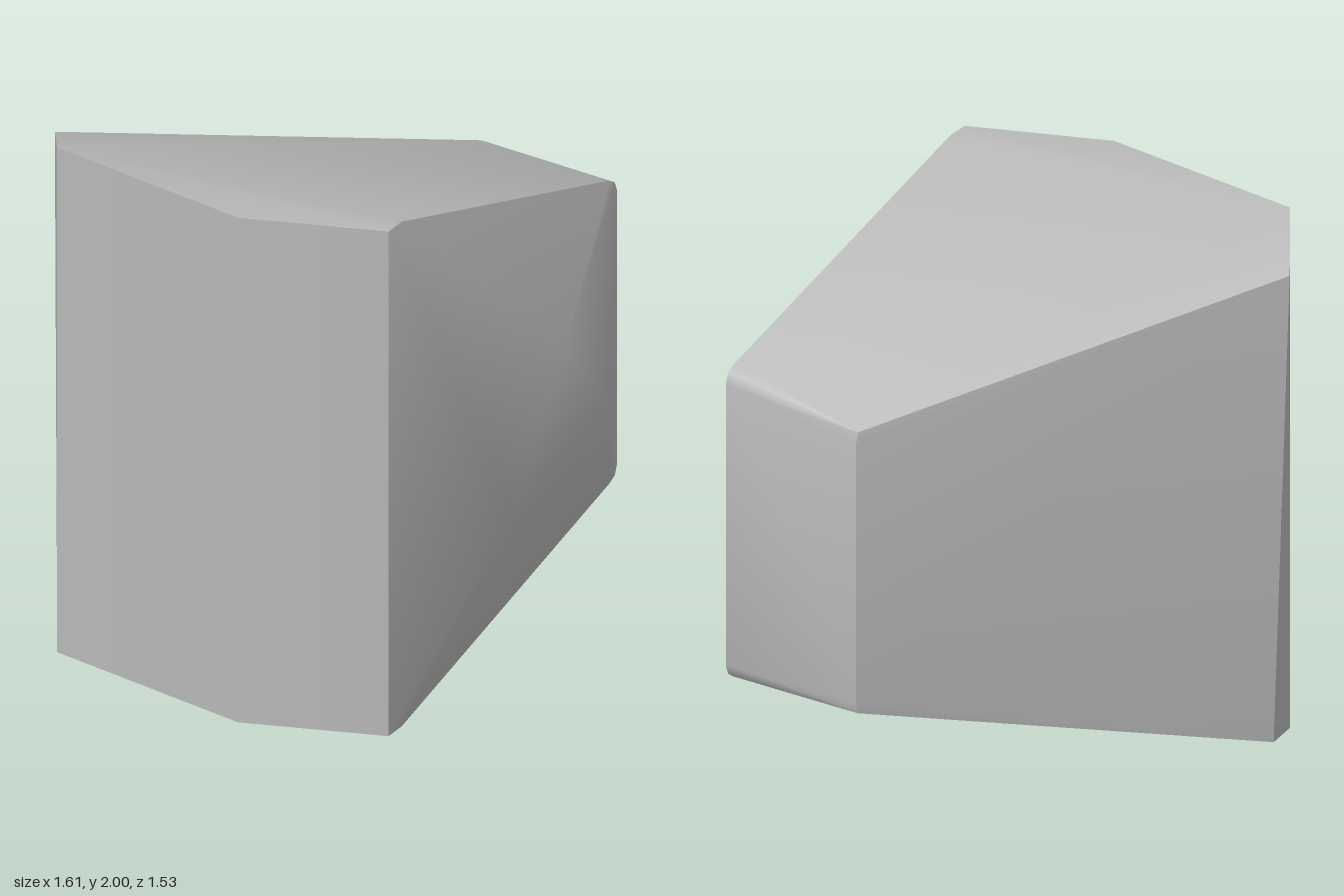
import * as THREE from 'three';
import { ConvexGeometry } from 'three/addons/geometries/ConvexGeometry.js';
import { toCreasedNormals } from 'three/addons/utils/BufferGeometryUtils.js';

export function createModel() {
  const stone = new THREE.MeshStandardMaterial({ color: 0xb8b8b8 });
  stone.name = 'stone grey';
  const points = [];
  const add = (x, y, z) => points.push(new THREE.Vector3(x, y, z));

  // Corners shared by the upper and lower ends, mirrored about y = 1
  const rim = [
    [-0.63, 2, 0.765], [0.14, 2, 0.765], [0.604, 2, 0.53], [0.6, 2, 0.45], // front cap
    [0.598, 1.6, -0.725], [0.6, 1.58, -0.752], [0.6, 1.54, -0.765], // rounded back right corner
    [0.03, 1.54, -0.755], [0.03, 1.5, -0.765], // back left corner
  ];
  for (const [x, y, z] of rim) {
    add(x, y, z);
    add(x, 2 - y, z);
  }

  // Slightly leaning left edge
  add(-0.81, 1.89, 0.54);
  add(-0.778, 0.105, 0.493);

  // Small raised facet on the right side
  add(0.804, 0.95, -0.43);
  add(0.804, 1.26, -0.2);
  add(0.804, 0.74, 0.09);

  // Soft shallow edges, sharp steep ones
  const rock = new THREE.Mesh(toCreasedNormals(new ConvexGeometry(points), 0.64), stone);
  rock.name = 'rock';

  const group = new THREE.Group();
  group.name = 'cutStone';
  group.add(rock);
  return group;
}
